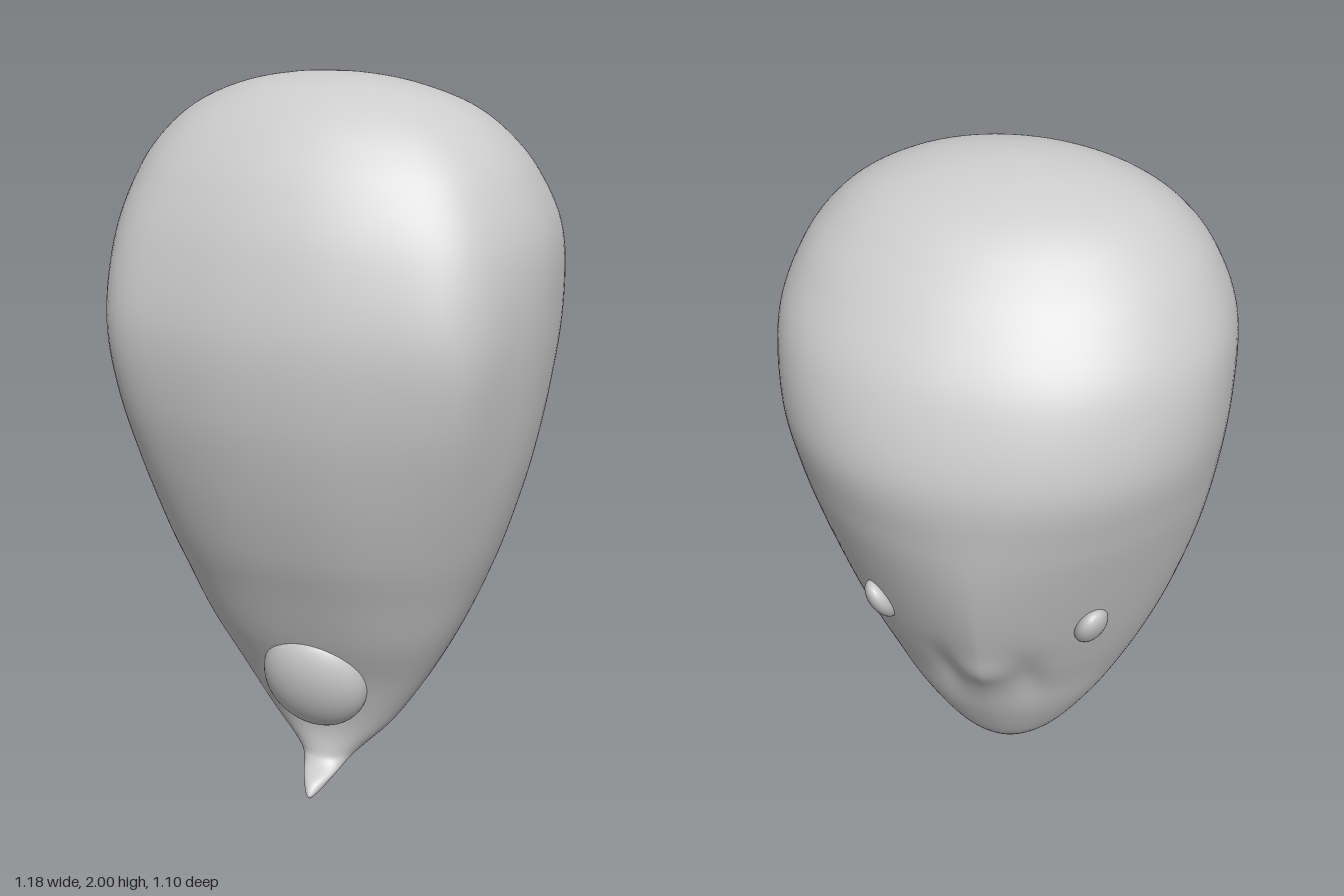
import * as THREE from 'three';

// Body sections from tip to crown:
// [height, half width, front z, back z, widest z, front squareness, keel roundness]
const ROWS = [
  [0.00, 0.00, 0.265, 0.265, 0.265, 2, 2],
  [0.015, 0.02, 0.275, 0.16, 0.23, 2, 2],
  [0.045, 0.045, 0.25, 0.08, 0.18, 2, 2],
  [0.075, 0.07, 0.195, 0.015, 0.12, 2, 2],
  [0.11, 0.105, 0.178, -0.035, 0.09, 2, 2],
  [0.20, 0.188, 0.18, -0.115, 0.07, 2.2, 1.9],
  [0.35, 0.285, 0.228, -0.2, 0.05, 2.4, 1.7],
  [0.50, 0.364, 0.302, -0.27, 0.04, 2.45, 1.5],
  [0.65, 0.428, 0.368, -0.352, 0.03, 2.4, 1.4],
  [0.80, 0.482, 0.432, -0.423, 0.03, 2.35, 1.4],
  [1.00, 0.537, 0.497, -0.488, 0.03, 2.3, 1.55],
  [1.20, 0.572, 0.54, -0.53, 0.03, 2.3, 1.85],
  [1.40, 0.59, 0.548, -0.548, 0.03, 2.3, 2.15],
  [1.60, 0.583, 0.505, -0.487, 0.03, 2.2, 2.2],
  [1.75, 0.526, 0.44, -0.385, 0.04, 2.15, 2.1],
  [1.85, 0.45, 0.372, -0.287, 0.05, 2.1, 2],
  [1.92, 0.357, 0.304, -0.194, 0.06, 2, 2],
  [1.97, 0.23, 0.225, -0.085, 0.08, 2, 2],
  [1.993, 0.11, 0.15, 0.005, 0.08, 2, 2],
  [2.00, 0.00, 0.08, 0.08, 0.08, 2, 2],
];

// Smooth interpolation between the section rows
function section(t) {
  const last = ROWS.length - 1;
  const i = Math.min(Math.floor(t), last - 1), f = t - i;
  const row = (k) => ROWS[Math.max(0, Math.min(last, k))];
  return ROWS[0].map((_, c) => {
    const [a, b, d, e] = [row(i - 1)[c], row(i)[c], row(i + 1)[c], row(i + 2)[c]];
    return b + 0.5 * f * (d - a + f * (2 * a - 5 * b + 4 * d - e + f * (3 * (b - d) + e - a)));
  });
}

const bump = (d, width) => Math.exp(-((d / width) ** 2));

// Point on the body: t runs up the rows, angle runs around the section
function bodyPoint(t, angle) {
  const [y, w, front, back, mid, square, keel] = section(t);
  const c = Math.cos(angle), s = Math.sin(angle);
  const isFront = s > 0;
  // The back narrows to a keel but stays round at the sides
  const nx = isFront ? square : keel;
  const nz = isFront ? square : (keel + 2.2) / 2;
  // Soft ridge down each front corner
  const corner = Math.atan2(s, Math.abs(c)) - Math.PI / 4;
  const ridge = 1 + 0.07 * bump(corner, 0.28) * bump(y - 1.36, 0.42);
  const x = w * ridge * Math.sign(c) * Math.abs(c) ** (2 / nx);
  let z = mid + (isFront ? front - mid : back - mid) * ridge * Math.abs(s) ** (2 / nz);
  // Small lip with a long fold on each side at the back
  if (!isFront) {
    const fade = Math.min(1, -s * 2);
    z -= fade * 0.017 * bump(x, 0.08) * bump(y - 0.66, 0.07);
    z += fade * 0.022 * bump(Math.abs(x) - 0.11, 0.045) * bump(y - 0.6, 0.13);
  }
  return new THREE.Vector3(x, y, z);
}

function bodyGeometry() {
  const steps = 8, rings = (ROWS.length - 1) * steps, sides = 128;
  const positions = [], index = [];
  for (let i = 0; i <= rings; i++) {
    for (let j = 0; j < sides; j++) {
      positions.push(...bodyPoint(i / steps, (j / sides) * Math.PI * 2).toArray());
      if (i === rings) continue;
      const k = (j + 1) % sides;
      const a = i * sides + j, b = i * sides + k;
      index.push(a, a + sides, b, b, a + sides, b + sides);
    }
  }
  const geometry = new THREE.BufferGeometry();
  geometry.setAttribute('position', new THREE.Float32BufferAttribute(positions, 3));
  geometry.setIndex(index);
  geometry.computeVertexNormals();
  return geometry;
}

export function createModel() {
  const group = new THREE.Group();
  const material = new THREE.MeshStandardMaterial({ color: 0xcccccc });
  const add = (name, geometry) => {
    const mesh = new THREE.Mesh(geometry, material);
    mesh.name = name;
    group.add(mesh);
    return mesh;
  };

  add('body', bodyGeometry());

  // Rounded nose above the tip, its top leaning forward
  const nose = add('nose', new THREE.SphereGeometry(1, 48, 32));
  nose.scale.set(0.15, 0.17, 0.09);
  nose.rotation.x = 0.35;
  nose.position.set(0, 0.36, 0.216);

  // Eyes face outward and down, tilted back at the top
  for (const side of [1, -1]) {
    const up = new THREE.Vector3(side * 0.1, 0.78, -0.6).normalize();
    const outward = new THREE.Vector3(side * 0.8, -0.35, -0.5);
    const across = up.clone().cross(outward).normalize();
    const normal = across.clone().cross(up);
    const eye = add(side > 0 ? 'leftEye' : 'rightEye', new THREE.SphereGeometry(1, 32, 24));
    eye.quaternion.setFromRotationMatrix(new THREE.Matrix4().makeBasis(across, up, normal));
    eye.scale.set(0.054, 0.092, 0.035);
    eye.position.copy(bodyPoint(9.15, -Math.PI / 2 + side * 0.77));
    eye.position.x -= side * 0.006;
  }
  return group;
}
